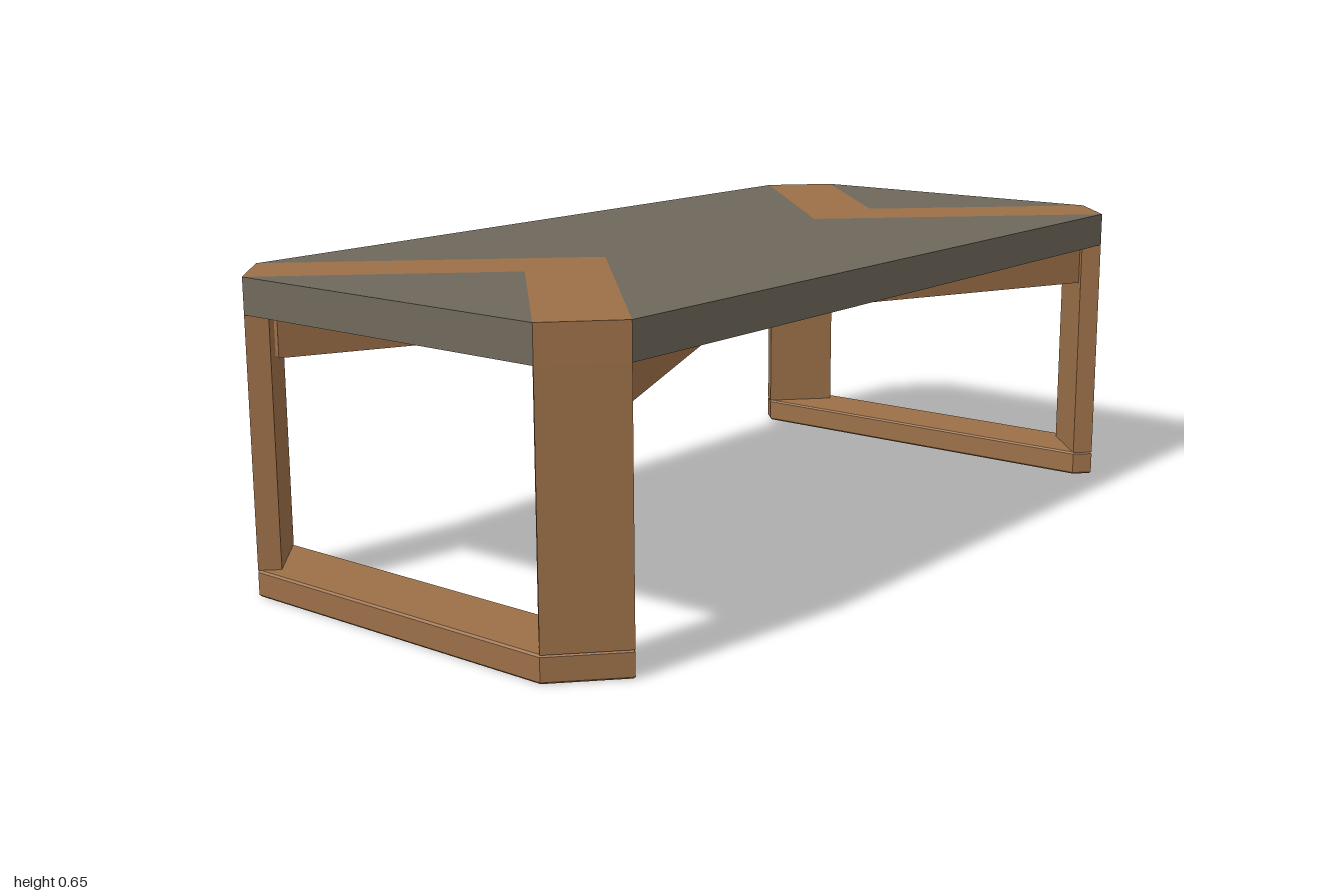
import * as THREE from 'three';

const wood = new THREE.MeshStandardMaterial({ color: 0x9c7048 });
wood.name = 'warm wood';
const slate = new THREE.MeshStandardMaterial({ color: 0x6f685b });
slate.name = 'grey slab';

// Heights
const TOP = 0.65, UNDER = 0.575, BEAM = 0.48, FOOT = 0.055;
// Plan of a chamfered corner: points on the long and the short side
const SX = 0.5, SZ = 0.875, EX = 0.385, EZ = 1;
const LEG = 0.033; // inward 45 degree offset of the leg's inner face

// Upright prism from a plan outline of [x, z] points
function prism(name, plan, y0, y1, material, bevel = 0) {
  const shape = new THREE.Shape(plan.map(([x, z]) => new THREE.Vector2(x, z)));
  const geometry = new THREE.ExtrudeGeometry(shape, {
    depth: y1 - y0 - 2 * bevel,
    bevelEnabled: bevel > 0,
    bevelSize: bevel, bevelThickness: bevel, bevelOffset: -bevel, bevelSegments: 1,
  });
  geometry.rotateX(Math.PI / 2);
  geometry.translate(0, y1 - bevel, 0);
  const mesh = new THREE.Mesh(geometry, material);
  mesh.name = name;
  return mesh;
}

export function createModel() {
  const table = new THREE.Group();
  table.name = 'table';

  // Main panel, notched at both ends for the chevrons
  table.add(prism('mainPanel', [
    [-SX, -SZ], [0, SX - SZ], [SX, -SZ], [SX, SZ], [0, SZ - SX], [-SX, SZ],
  ], UNDER, TOP, slate));

  for (const [end, s] of [['front', 1], ['back', -1]]) {
    const flip = (plan) => plan.map(([x, z]) => [x, z * s]);

    // Triangular end panel and the wooden chevron let into the top
    table.add(prism(end + 'EndPanel', flip([[-EX, EZ], [0, EZ - EX], [EX, EZ]]), UNDER, TOP, slate));
    table.add(prism(end + 'Chevron', flip([
      [-SX, SZ], [0, SZ - SX], [SX, SZ], [EX, EZ], [0, EZ - EX], [-EX, EZ],
    ]), UNDER, TOP, wood));

    // Floor rail with chamfered ends
    const ix = SX - LEG, iz = SZ - LEG;
    table.add(prism(end + 'FloorRail', flip([
      [-ix, iz], [ix, iz], [SX, SZ], [EX, EZ], [-EX, EZ], [-SX, SZ],
    ]), 0, FOOT, wood, 0.004));

    // Slanted corner legs
    for (const [side, m] of [['Left', 1], ['Right', -1]]) {
      const plan = [[SX, SZ], [EX, EZ], [EX - LEG, EZ - LEG], [SX - LEG, SZ - LEG]];
      table.add(prism(end + side + 'Leg', flip(plan.map(([x, z]) => [x * m, z])), FOOT, UNDER, wood));
    }
  }

  // Crossed beams running from leg to opposite leg under the top
  const endX = 0.42, endZ = 0.91;
  for (const m of [1, -1]) {
    const beam = new THREE.Mesh(
      new THREE.BoxGeometry(0.11, UNDER - BEAM, 2 * Math.hypot(endX, endZ)), wood);
    beam.position.y = (UNDER + BEAM) / 2;
    beam.rotation.y = m * Math.atan2(endX, endZ);
    beam.name = m > 0 ? 'crossBeamA' : 'crossBeamB';
    table.add(beam);
  }
  return table;
}
